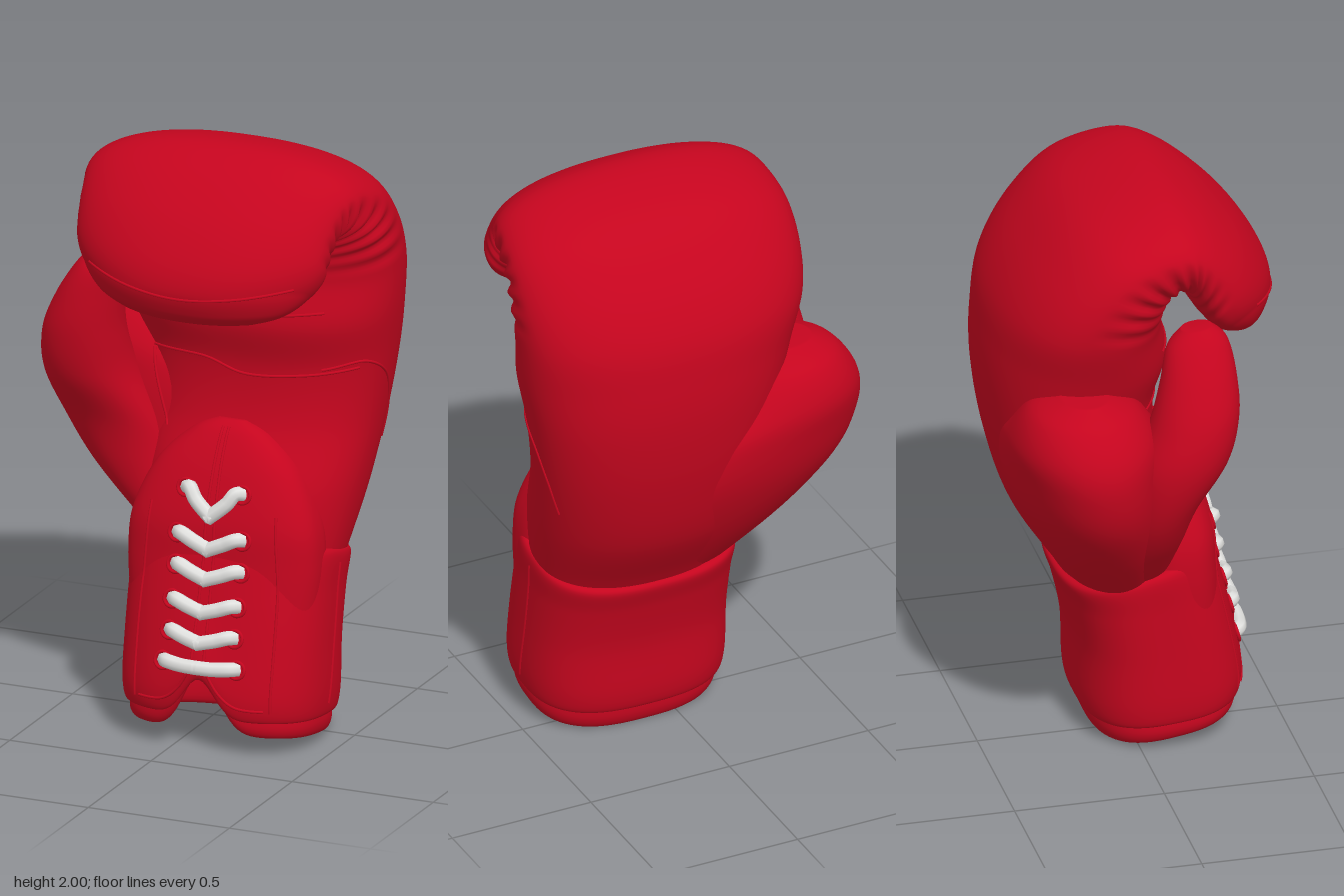
import * as THREE from 'three';

const red = new THREE.MeshStandardMaterial({ color: 0xc5051e });
red.name = 'red leather';
const white = new THREE.MeshStandardMaterial({ color: 0xe0e0de });
white.name = 'white lace';

// Catmull-Rom interpolation of whole stations
function stationAt(list, t) {
  const i = Math.min(Math.floor(t), list.length - 2), f = t - i;
  const at = (k) => list[Math.max(0, Math.min(list.length - 1, k))];
  const [a, b, c, d] = [at(i - 1), at(i), at(i + 1), at(i + 2)];
  return b.map((v, k) => v + 0.5 * f * (c[k] - a[k] + f * (2 * a[k] - 5 * v + 4 * c[k] - d[k]
    + f * (3 * (v - c[k]) + d[k] - a[k]))));
}

// Skin over oval sections. Station: [back z, back y, front z, front y, x min, x max]
function loft(name, stations, { n = 2.4, seg = 96, rows = 8, deform, capStart = true } = {}) {
  const pos = [], index = [], total = (stations.length - 1) * rows;
  for (let r = 0; r <= total; r++) {
    const t = r / rows, [bz, by, fz, fy, x0, x1] = stationAt(stations, t);
    const mid = new THREE.Vector3((x0 + x1) / 2, (by + fy) / 2, (bz + fz) / 2);
    for (let j = 0; j < seg; j++) {
      const a = (j / seg) * Math.PI * 2, c = Math.cos(a), s = Math.sin(a);
      const q = Math.pow(Math.abs(c) ** n + Math.abs(s) ** n, -1 / n);
      const p = new THREE.Vector3(mid.x + q * c * (x1 - x0) / 2,
        mid.y + q * s * (fy - by) / 2, mid.z + q * s * (fz - bz) / 2);
      if (deform) deform(p, t, c, s, mid);
      pos.push(p.x, p.y, p.z);
    }
  }
  for (let r = 0; r < total; r++) for (let j = 0; j < seg; j++) {
    const a = r * seg + j, b = r * seg + (j + 1) % seg;
    index.push(a, a + seg, b, b, a + seg, b + seg);
  }
  const cap = (row, flip) => {
    const m = [0, 0, 0], centre = pos.length / 3;
    for (let j = 0; j < seg; j++) for (let k = 0; k < 3; k++) m[k] += pos[(row * seg + j) * 3 + k] / seg;
    pos.push(...m);
    for (let j = 0; j < seg; j++) {
      const a = row * seg + j, b = row * seg + (j + 1) % seg;
      index.push(centre, flip ? b : a, flip ? a : b);
    }
  };
  if (capStart) cap(0, false);
  cap(total, true);
  const g = new THREE.BufferGeometry();
  g.setAttribute('position', new THREE.Float32BufferAttribute(pos, 3));
  g.setIndex(index);
  g.computeVertexNormals();
  const mesh = new THREE.Mesh(g, red);
  mesh.name = name;
  return mesh;
}

// Lifts the lower front edge into a rounded notch between the two flaps
const notch = (height, width) => (p) => {
  if (p.z < 0.15) return;
  const fade = Math.max(0, 1 - Math.max(0, p.y - 0.12) / 0.35);
  p.y += height * Math.exp(-(((p.x - 0.11) / width) ** 2)) * fade;
};

function tube(name, pts, radius, material) {
  const curve = new THREE.CatmullRomCurve3(pts);
  const mesh = new THREE.Mesh(new THREE.TubeGeometry(curve, pts.length * 6, radius, 8), material);
  mesh.name = name;
  return mesh;
}

export function createModel() {
  const glove = new THREE.Group();
  glove.name = 'boxingGlove';

  // Hand: rises from the wrist, then curls over into the padded fist
  const hand = loft('hand', [
    [-0.18, 0.52, 0.2, 0.56, -0.2, 0.43],
    [-0.24, 0.62, 0.22, 0.66, -0.22, 0.455],
    [-0.365, 0.82, 0.2, 0.84, -0.25, 0.49],
    [-0.435, 1.05, 0.11, 1.05, -0.27, 0.52],
    [-0.468, 1.27, 0.09, 1.24, -0.3, 0.55],
    [-0.468, 1.45, 0.125, 1.4, -0.35, 0.575],
    [-0.44, 1.62, 0.1, 1.54, -0.4, 0.585],
    [-0.34, 1.79, 0.105, 1.62, -0.42, 0.588],
    [-0.18, 1.935, 0.115, 1.66, -0.42, 0.58],
    [0.05, 2.0, 0.13, 1.67, -0.405, 0.555],
    [0.2, 1.96, 0.15, 1.645, -0.39, 0.53],
    [0.345, 1.845, 0.18, 1.585, -0.38, 0.515],
    [0.44, 1.715, 0.235, 1.52, -0.365, 0.505],
    [0.475, 1.61, 0.29, 1.485, -0.325, 0.465],
    [0.455, 1.53, 0.345, 1.476, -0.25, 0.4],
    [0.42, 1.49, 0.375, 1.478, -0.15, 0.3],
  ], {
    n: 2.3, rows: 10,
    deform(p, t, c, s, mid) {
      // gathered leather along the inner sides of the curl
      const span = Math.max(0, 1 - Math.abs(t - 9) / 3);
      const side = Math.abs(c) ** 2 * Math.min(1, Math.max(0, s + 0.25) * 2);
      p.lerp(mid, 0.06 * Math.sqrt(span) * side * (0.5 + 0.5 * Math.sin(t * 11)));
      // both ends of the front roll bend back and up
      const bend = Math.min(1, Math.max(0, (t - 9.5) / 3.5)) * Math.abs((p.x - 0.08) / 0.45) ** 2.2;
      p.z -= 0.12 * bend;
      p.y += 0.065 * bend;
    },
  });

  // Thumb: a wide mound flowing out of the back and an upright tip in front
  const thumbBase = loft('thumbBase', [
    [-0.19, 0.56, 0.1, 0.6, -0.2, 0.36],
    [-0.325, 0.77, 0.09, 0.8, -0.4, 0.38],
    [-0.412, 0.96, 0.07, 0.98, -0.54, 0.36],
    [-0.448, 1.12, 0.05, 1.13, -0.59, 0.24],
    [-0.45, 1.24, 0.02, 1.25, -0.58, 0.02],
    [-0.4, 1.35, -0.05, 1.35, -0.51, -0.12],
    [-0.3, 1.4, -0.15, 1.4, -0.42, -0.22],
  ], { n: 2.1, seg: 64 });
  const thumbTip = loft('thumbTip', [
    [-0.1, 0.62, 0.11, 0.66, -0.23, 0],
    [-0.1, 0.8, 0.12, 0.84, -0.4, -0.1],
    [-0.1, 0.97, 0.15, 1.0, -0.5, -0.16],
    [-0.08, 1.15, 0.235, 1.17, -0.548, -0.24],
    [-0.02, 1.3, 0.27, 1.32, -0.535, -0.265],
    [0.02, 1.43, 0.27, 1.45, -0.48, -0.265],
    [0.05, 1.54, 0.25, 1.56, -0.41, -0.26],
    [0.1, 1.6, 0.2, 1.61, -0.36, -0.285],
  ], { n: 2.1, seg: 48 });

  // Cuff with a rounded notch between the two front flaps
  const cuff = loft('cuff', [
    [-0.11, 0.12, 0.34, 0.18, -0.19, 0.42],
    [-0.145, 0.075, 0.37, 0.125, -0.22, 0.445],
    [-0.165, 0.14, 0.382, 0.2, -0.235, 0.458],
    [-0.172, 0.32, 0.355, 0.36, -0.235, 0.458],
    [-0.205, 0.48, 0.315, 0.54, -0.235, 0.458],
    [-0.232, 0.57, 0.275, 0.68, -0.236, 0.46],
    [-0.2, 0.59, 0.24, 0.7, -0.2, 0.43],
  ], { n: 2.7, seg: 144, capStart: false, deform: notch(0.13, 0.075) });

  // Lining: hollow opening and a rounded lip, open at the notch
  const lining = loft('lining', [
    [-0.1, 0.68, 0.2, 0.7, -0.1, 0.33],
    [-0.13, 0.5, 0.25, 0.53, -0.16, 0.39],
    [-0.085, 0.08, 0.31, 0.14, -0.16, 0.39],
    [-0.105, 0.002, 0.34, 0.07, -0.185, 0.415],
    [-0.13, 0.04, 0.362, 0.1, -0.21, 0.435],
    [-0.13, 0.14, 0.35, 0.19, -0.2, 0.425],
    [-0.13, 0.32, 0.32, 0.36, -0.2, 0.425],
  ], { n: 2.7, seg: 144, deform: notch(0.2, 0.085) });

  // Arched panel running from the cuff onto the palm
  const panel = loft('palmPanel', [
    [0, 0.42, 0.3, 0.45, -0.21, 0.435],
    [0, 0.6, 0.288, 0.62, -0.222, 0.447],
    [0, 0.76, 0.276, 0.76, -0.205, 0.432],
    [0, 0.92, 0.225, 0.92, -0.13, 0.36],
    [0, 1.02, 0.165, 1.03, -0.02, 0.25],
    [0.02, 1.05, 0.12, 1.07, 0.06, 0.17],
  ], { n: 2.8 });

  const skin = [hand, thumbBase, thumbTip, cuff, lining, panel];
  glove.add(...skin);

  // Points on the surface, found from the front (x, y) or from the +x side (z, y)
  const ray = new THREE.Raycaster();
  function onSkin(u, y, fromSide = false) {
    if (fromSide) ray.set(new THREE.Vector3(3, y, u), new THREE.Vector3(-1, 0, 0));
    else ray.set(new THREE.Vector3(u, y, 3), new THREE.Vector3(0, 0, -1));
    return ray.intersectObjects(skin, false)[0].point;
  }
  function seam(name, pts, fromSide = false) {
    const path = new THREE.SplineCurve(pts.map(([u, y]) => new THREE.Vector2(u, y))).getPoints(24);
    glove.add(tube(name, path.map((p) => onSkin(p.x, p.y, fromSide)), 0.005, red));
  }

  // Raised seams
  seam('fistSeam', [[-0.28, 1.63], [-0.1, 1.6], [0.08, 1.585], [0.26, 1.6], [0.44, 1.63]]);
  seam('gripSeam', [[-0.2, 1.25], [0, 1.26], [0.15, 1.22], [0.35, 1.23], [0.5, 1.25]]);
  seam('creaseSeam', [[-0.2, 1.455], [0, 1.44], [0.2, 1.435], [0.42, 1.455]]);
  seam('palmSeam', [[-0.2, 1.24], [-0.18, 1.15], [-0.13, 1.0]]);
  seam('sideSeam', [[0.04, 1.25], [-0.05, 1.27], [-0.16, 1.2], [-0.22, 1.08], [-0.24, 0.95]], true);
  seam('cuffSideSeam', [[0.03, 0.6], [0.06, 0.4], [0.11, 0.14]], true);
  for (const s of [-1, 1]) {
    seam('cuffStitch', [[0.11 + s * 0.24, 0.16], [0.11 + s * 0.24, 0.5], [0.11 + s * 0.22, 0.8]]);
    seam('centreEdge', [[0.11 + s * 0.022, 0.3], [0.11 + s * 0.018, 0.6], [0.11 + s * 0.01, 1.05]]);
    seam('flapEdge', [[0.11 + s * 0.022, 0.3], [0.11 + s * 0.07, 0.22], [0.11 + s * 0.13, 0.175], [0.11 + s * 0.22, 0.165]]);
  }

  // Laces with an eyelet at each end
  const lace = (pts) => {
    const path = pts.map(([x, y, lift]) => onSkin(x, y).add(new THREE.Vector3(0, 0, lift)));
    glove.add(tube('lace', path, 0.025, white));
  };
  [[0.3, 0], [0.4, 0.025], [0.5, 0.03], [0.61, 0.035], [0.715, 0.045], [0.86, 0.085]].forEach(([y, dip], row) => {
    const half = row === 0 ? 0.13 : row === 5 ? 0.1 : 0.115;
    for (const s of [-1, 1]) {
      const x = 0.11 + s * half;
      lace([[x, y, -0.012], [x - s * 0.02, y + 0.003, 0.008], [0.11 + s * 0.055, y - dip * 0.35, 0.01], [0.11 - s * 0.01, y - dip, 0.008]]);
      const eyelet = new THREE.Mesh(new THREE.TorusGeometry(0.028, 0.006, 8, 20), red);
      eyelet.name = 'eyelet';
      eyelet.position.copy(onSkin(x, y));
      eyelet.rotation.x = -0.24;
      glove.add(eyelet);
    }
  });

  return glove;
}
